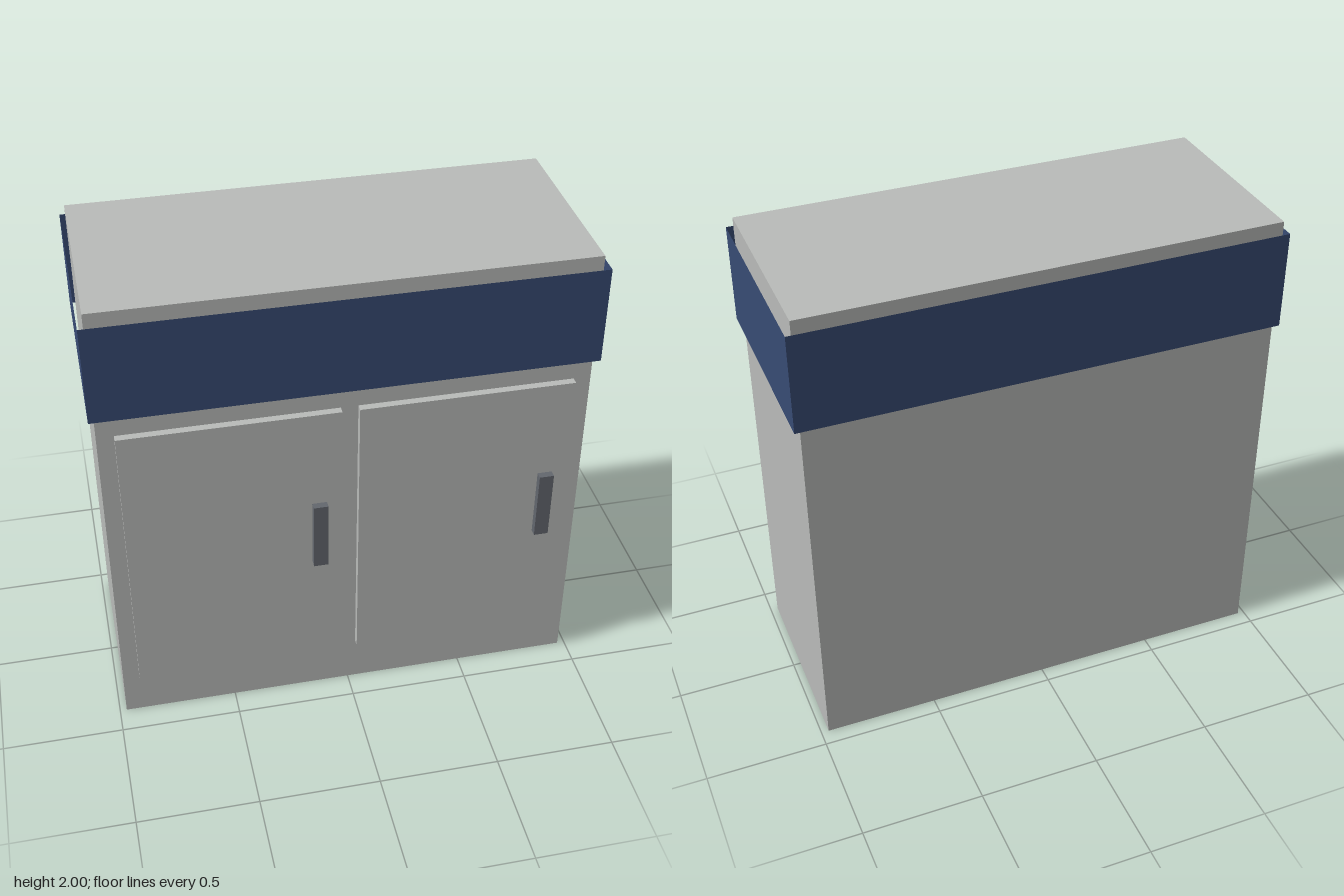
import * as THREE from 'three';
import { mergeVertices } from 'three/addons/utils/BufferGeometryUtils.js';

const paint = (name, color, side = THREE.FrontSide) => {
  const m = new THREE.MeshStandardMaterial({ color, side });
  m.name = name;
  return m;
};

export function createModel() {
  const group = new THREE.Group();
  const grey = paint('light grey', 0xb9bbb9, THREE.DoubleSide);
  const blue = paint('navy blue', 0x384b74, THREE.DoubleSide);
  const dark = paint('handle grey', 0x63676e);

  // Box between two corners; faces listed in skip are left open
  // (0 +x, 1 -x, 2 +y, 3 -y, 4 +z, 5 -z)
  const box = (name, material, [x0, y0, z0], [x1, y1, z1], skip = []) => {
    const geo = new THREE.BoxGeometry(x1 - x0, y1 - y0, z1 - z0);
    const index = Array.from(geo.index.array);
    geo.setIndex(index.filter((_, i) => !skip.includes(Math.floor(i / 6))));
    geo.clearGroups();
    const mesh = new THREE.Mesh(mergeVertices(geo), material);
    mesh.position.set((x0 + x1) / 2, (y0 + y1) / 2, (z0 + z1) / 2);
    mesh.name = name;
    group.add(mesh);
  };

  // Hollow cabinet, open underneath
  box('cabinetBody', grey, [-0.972, 0, -0.432], [0.969, 2, 0.388], [3]);

  // Thin sheet band wrapped around the top, open above and below
  box('blueBand', blue, [-0.994, 1.543, -0.449], [0.994, 1.952, 0.411], [2, 3]);

  // Two doors, each with an upright handle near its left edge
  for (const [side, x] of [['right', -0.904], ['left', 0.032]]) {
    box(side + 'Door', grey, [x, 0.207, 0.388], [x + 0.867, 1.457, 0.419]);
    box(side + 'Handle', dark, [x + 0.746, 0.723, 0.419], [x + 0.806, 1.027, 0.449]);
  }
  return group;
}
